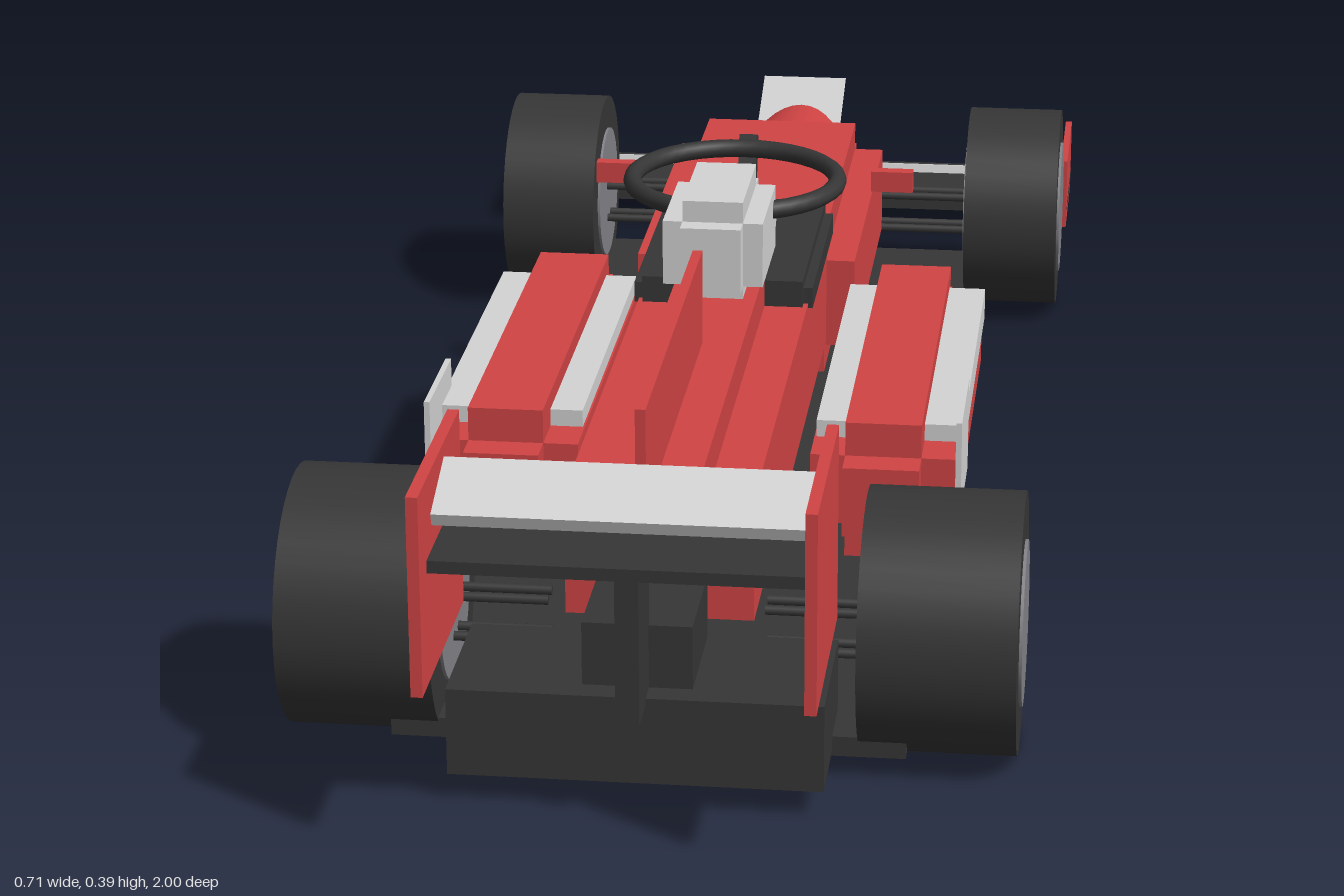
import * as THREE from 'three';

const mat = (name, color) => {
  const m = new THREE.MeshStandardMaterial({ color });
  m.name = name;
  return m;
};

export function createModel() {
  const car = new THREE.Group();
  car.name = 'racingCar';
  const red = mat('bodyRed', 0xd24444);
  const black = mat('carbonBlack', 0x363636);
  const grey = mat('lightGrey', 0xd4d4d4);
  const hubGrey = mat('hubGrey', 0x828288);
  const screenGrey = mat('screenGrey', 0xd0d0d0);
  screenGrey.side = THREE.DoubleSide;

  const add = (name, geometry, material, x = 0, y = 0, z = 0, parent = car) => {
    const mesh = new THREE.Mesh(geometry, material);
    mesh.name = name;
    mesh.position.set(x, y, z);
    parent.add(mesh);
    return mesh;
  };
  // box given by its limits on each axis
  const box = (name, material, [x0, x1], [y0, y1], [z0, z1]) =>
    add(name, new THREE.BoxGeometry(x1 - x0, y1 - y0, z1 - z0), material,
      (x0 + x1) / 2, (y0 + y1) / 2, (z0 + z1) / 2);
  // stepped block: three crossing boxes, each reaching full size on one axis
  const stepped = (name, material, x, y, z, sx, sy, sz) => {
    const inner = ([a, b], s) => [a + s, b - s];
    box(name + 'Wide', material, x, inner(y, sy), inner(z, sz));
    box(name + 'Tall', material, inner(x, sx), y, inner(z, sz));
    box(name + 'Long', material, inner(x, sx), inner(y, sy), z);
  };

  // floor and diffuser
  box('floor', black, [-0.247, 0.247], [0.022, 0.042], [-0.653, 0.77]);
  box('diffuser', black, [-0.177, 0.177], [0.028, 0.115], [0.71, 0.86]);
  box('gearbox', black, [-0.052, 0.052], [0.11, 0.178], [0.715, 0.835]);

  // main body
  stepped('frontTub', red, [-0.124, 0.124], [0.075, 0.243], [-0.56, -0.09], 0.034, 0.033, 0.025);
  box('rearBody', red, [-0.092, 0.092], [0.113, 0.24], [-0.12, 0.67]);
  box('engineCover', red, [-0.046, 0.046], [0.155, 0.279], [0.09, 0.715]);
  box('engineFin', red, [-0.005, 0.005], [0.27, 0.378], [0.35, 0.8]);

  // nose cone
  const nose = add('noseCone', new THREE.CylinderGeometry(0.03, 0.09, 0.41, 32), red, 0, 0.13, -0.763);
  nose.rotation.x = -Math.PI / 2;
  const screen = add('nosePlate', new THREE.PlaneGeometry(0.106, 0.09), screenGrey, 0, 0.19, -0.8);
  screen.rotation.x = -Math.PI / 2 + 0.42;

  // cockpit, halo, driver and air intake
  box('cockpitRim', black, [-0.097, 0.097], [0.235, 0.258], [-0.14, 0.115]);
  box('cockpitTop', black, [-0.087, 0.087], [0.235, 0.269], [-0.152, 0.127]);
  const halo = add('halo', new THREE.TorusGeometry(0.113, 0.01, 10, 40), black, 0, 0.341, 0);
  halo.rotation.x = Math.PI / 2;
  const post = add('haloPost', new THREE.BoxGeometry(0.02, 0.1, 0.02), black, 0, 0.3, -0.128);
  post.rotation.x = -0.38;
  add('helmet', new THREE.SphereGeometry(0.048, 32, 20), grey, 0, 0.302, 0.022);
  stepped('airIntake', grey, [-0.053, 0.053], [0.27, 0.386], [0.06, 0.238], 0.021, 0.023, 0.022);

  // parts mirrored on both sides
  for (const s of [1, -1]) {
    const side = s > 0 ? 'left' : 'right';
    const span = (a, b) => (s > 0 ? [a, b] : [-b, -a]);

    // sidepods
    stepped(side + 'Sidepod', red, span(0.12, 0.27), [0.065, 0.212], [-0.138, 0.425], 0.036, 0.036, 0.035);
    box(side + 'SidepodStrip', grey, span(0.122, 0.274), [0.16, 0.194], [-0.083, 0.34]);
    box(side + 'SidepodPanel', grey, span(0.27, 0.276), [0.125, 0.224], [0.282, 0.41]);

    // mirrors
    box(side + 'Mirror', red, span(0.135, 0.183), [0.266, 0.29], [-0.215, -0.2]);

    // wheels: [name, radius, inner x, outer x, z]
    for (const [axle, r, x0, x1, z] of [['Front', 0.12, 0.228, 0.34, -0.597], ['Rear', 0.127, 0.201, 0.351, 0.68]]) {
      const wheel = new THREE.Group();
      wheel.name = side + axle + 'Wheel';
      wheel.position.set(s * (x0 + x1) / 2, axle === 'Front' ? 0.124 : 0.128, z);
      wheel.rotation.z = Math.PI / 2;
      car.add(wheel);
      add('tyre', new THREE.CylinderGeometry(r, r, x1 - x0, 40), black, 0, 0, 0, wheel);
      add('hub', new THREE.CylinderGeometry(0.08, 0.08, x1 - x0 + 0.006, 32), hubGrey, 0, 0, 0, wheel);

      // suspension arms
      for (const y of [0.093, 0.135]) {
        for (const dz of [-0.012, 0.012]) {
          const arm = add(side + axle + 'Arm', new THREE.CylinderGeometry(0.005, 0.005, 0.15, 8), black,
            s * 0.18, y, z + dz);
          arm.rotation.z = Math.PI / 2;
        }
      }
    }

    // wing end plates
    box(side + 'FrontEndPlate', red, span(0.336, 0.344), [0.025, 0.115], [-0.985, -0.81]);
    box(side + 'RearEndPlate', red, span(0.171, 0.182), [0.172, 0.365], [0.785, 1.0]);
  }

  // front wing
  box('frontWing', black, [-0.344, 0.344], [0.033, 0.046], [-1.0, -0.84]);
  const frontFlap = add('frontFlap', new THREE.BoxGeometry(0.656, 0.01, 0.094), grey, 0, 0.075, -0.885);
  frontFlap.rotation.x = -0.3;

  // rear wing
  box('rearWing', black, [-0.182, 0.182], [0.278, 0.29], [0.855, 0.965]);
  const rearFlap = add('rearFlap', new THREE.BoxGeometry(0.343, 0.013, 0.078), grey, 0, 0.332, 0.902);
  rearFlap.rotation.x = 0.35;
  box('rearWingPillar', black, [-0.011, 0.011], [0.108, 0.285], [0.83, 0.905]);

  return car;
}
